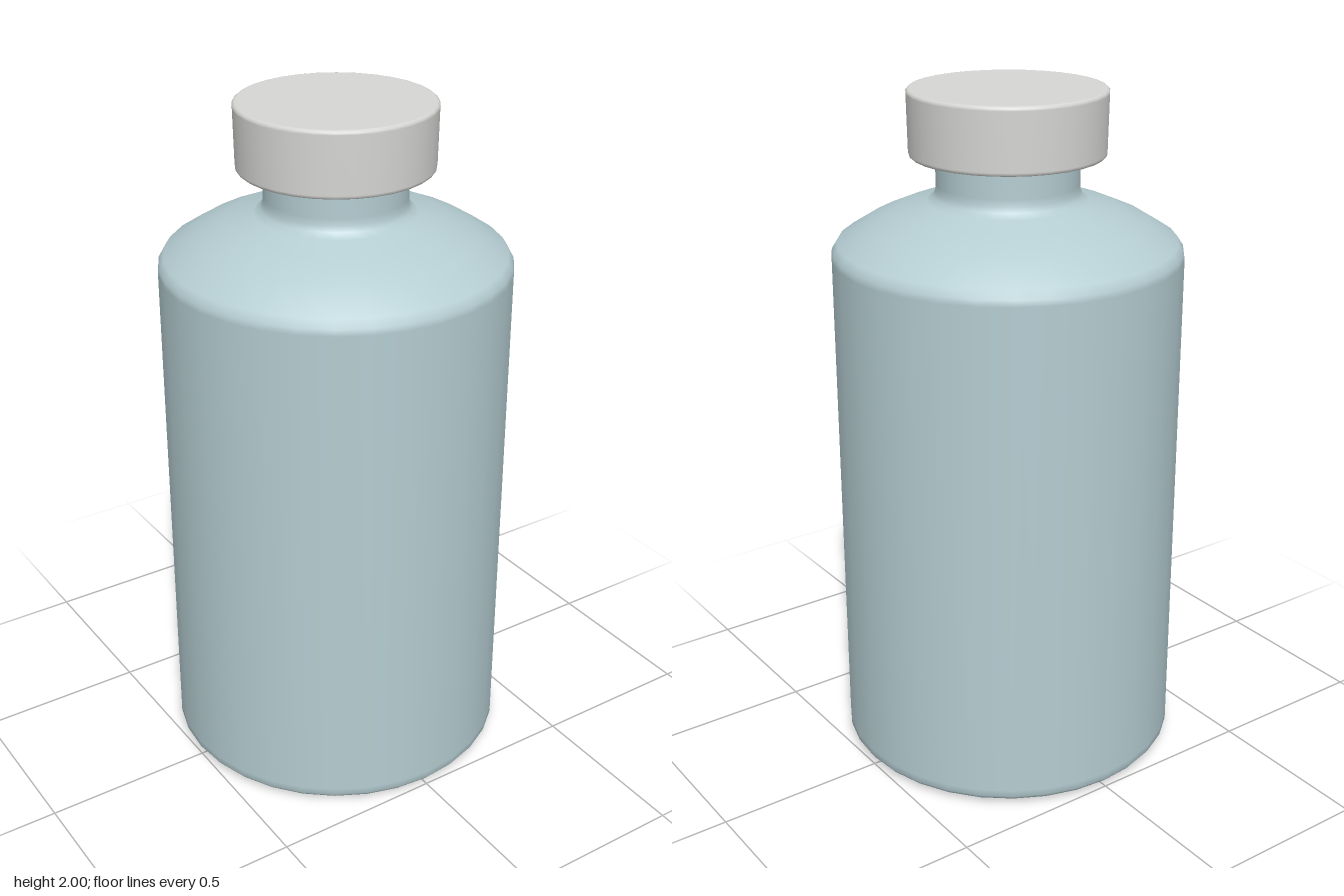
import * as THREE from 'three';

const SIDES = 32;

// Spins a bottom-to-top [radius, height] profile into a smooth solid.
function turned(name, profile, material) {
  const points = profile.map(([r, y]) => new THREE.Vector2(r, y));
  const mesh = new THREE.Mesh(new THREE.LatheGeometry(points, SIDES), material);
  mesh.name = name;
  return mesh;
}

export function createModel() {
  const glass = new THREE.MeshStandardMaterial({ color: 0xb5cdd2 });
  glass.name = 'pale blue';
  const plastic = new THREE.MeshStandardMaterial({ color: 0xd6d6d4 });
  plastic.name = 'light grey';

  const bottle = new THREE.Group();
  bottle.name = 'bottle';

  // Body: shallow dished base, straight wall, rounded shoulder and neck
  bottle.add(turned('body', [
    [0, 0.03], [0.25, 0.022], [0.41, 0.006], [0.435, 0],
    [0.455, 0.002], [0.493, 0.017], [0.503, 0.03], [0.503, 0.05],
    [0.502, 1.53], [0.5, 1.548], [0.485, 1.572], [0.4, 1.625],
    [0.31, 1.664], [0.23, 1.686], [0.211, 1.7], [0.204, 1.716],
    [0.203, 1.735], [0.203, 1.83],
  ], glass));

  // Cap: closed disc overhanging the neck, with tiny softened edges
  bottle.add(turned('cap', [
    [0, 1.815], [0.268, 1.815], [0.273, 1.815], [0.277, 1.819],
    [0.278, 1.825], [0.281, 1.988], [0.281, 1.994], [0.276, 1.999],
    [0.27, 2], [0, 2],
  ], plastic));

  return bottle;
}
